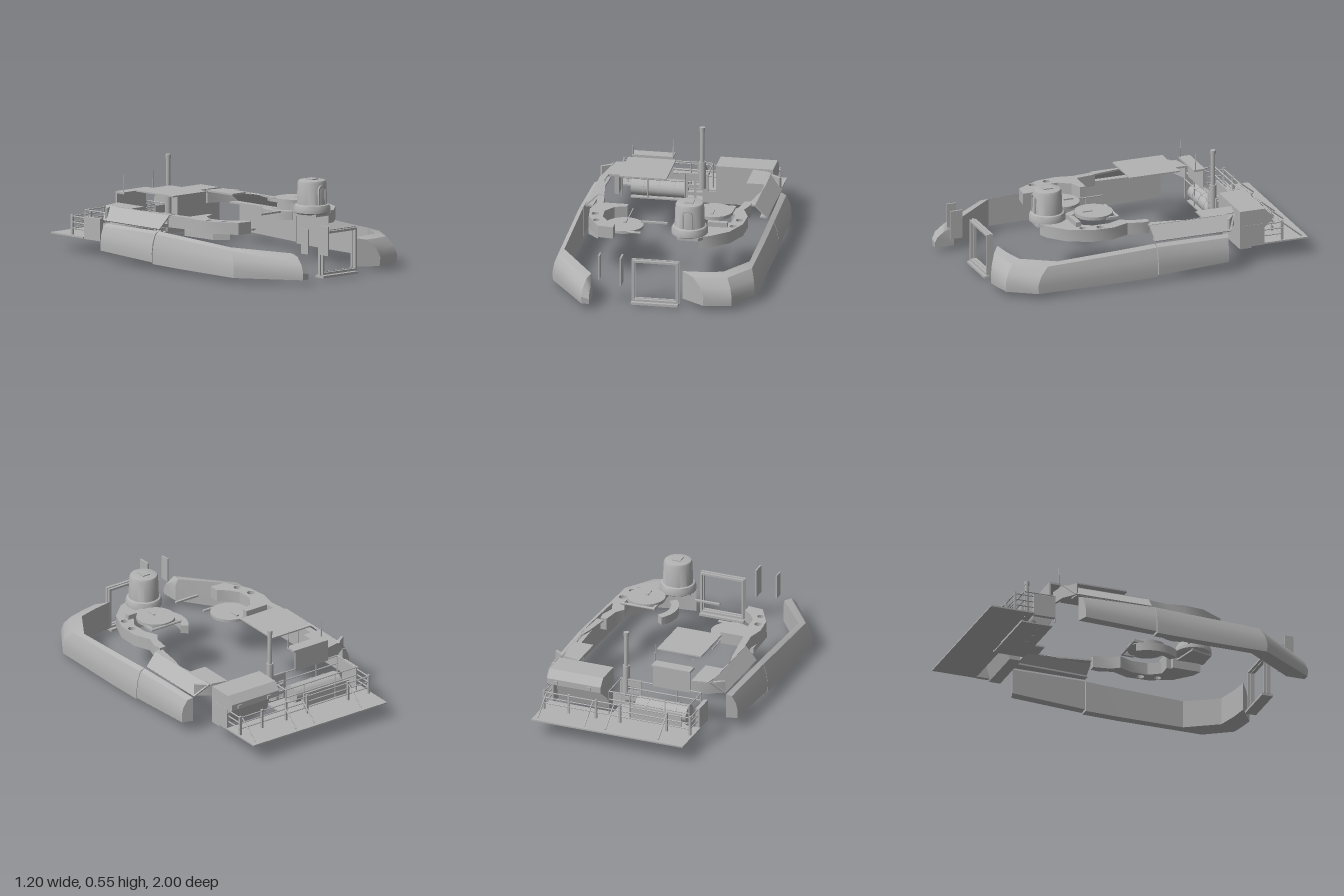
import * as THREE from 'three';
import { toCreasedNormals } from 'three/addons/utils/BufferGeometryUtils.js';

const grey = new THREE.MeshStandardMaterial({ color: 0xb2b2b2, side: THREE.DoubleSide });
grey.name = 'plain grey';

export function createModel() {
  const model = new THREE.Group();
  model.name = 'vehicleArmourKit';
  const add = (name, geo, parent = model) => {
    const m = new THREE.Mesh(toCreasedNormals(geo, 0.5), grey);
    m.name = name;
    parent.add(m);
    return m;
  };
  // box from its limits
  const box = (name, x0, x1, y0, y1, z0, z1, parent) =>
    add(name, new THREE.BoxGeometry(x1 - x0, y1 - y0, z1 - z0)
      .translate((x0 + x1) / 2, (y0 + y1) / 2, (z0 + z1) / 2), parent);
  // straight bar between two points
  const rod = (name, a, b, r = 0.004) => {
    const p = new THREE.Vector3(...a), d = new THREE.Vector3(...b).sub(p);
    const m = add(name, new THREE.CylinderGeometry(r, r, d.length(), 8));
    m.position.copy(p).addScaledVector(d, 0.5);
    m.quaternion.setFromUnitVectors(new THREE.Vector3(0, 1, 0), d.normalize());
  };
  const cyl = (name, x, y0, y1, z, r0, r1 = r0, seg = 32) =>
    add(name, new THREE.CylinderGeometry(r1, r0, y1 - y0, seg).translate(x, (y0 + y1) / 2, z));
  // plan outline [x, z] raised from y0 to y1
  const slab = (name, pts, y0, y1, holes = [], parent = model) => {
    const s = new THREE.Shape(pts.map(([x, z]) => new THREE.Vector2(x, -z)));
    holes.forEach(([x, z, r]) => s.holes.push(new THREE.Path().absarc(x, -z, r, 0, Math.PI * 2, true)));
    return add(name, new THREE.ExtrudeGeometry(s, { depth: y1 - y0, bevelEnabled: false, curveSegments: 20 })
      .rotateX(-Math.PI / 2).translate(0, y0, 0), parent);
  };
  // solid skin through a row of equal cross-sections, capped at both ends
  const loft = (name, sections) => {
    const n = sections[0].length, index = [];
    for (let i = 0; i < sections.length - 1; i++) for (let j = 0; j < n; j++) {
      const a = i * n + j, b = i * n + (j + 1) % n;
      index.push(a, b, a + n, b, b + n, a + n);
    }
    const e = (sections.length - 1) * n;
    for (let j = 1; j < n - 1; j++) index.push(0, j + 1, j, e, e + j, e + j + 1);
    const g = new THREE.BufferGeometry();
    g.setAttribute('position', new THREE.Float32BufferAttribute(sections.flat(2), 3));
    g.setIndex(index);
    return add(name, g);
  };

  // Side skirts: [inner x, inner z, outer x, outer z, bottom, top]
  const skirtSection = (side) => ([xi, zi, xo, zo, yb, yt]) => {
    const p = (t, y) => [side * (xi + (xo - xi) * t), y, zi + (zo - zi) * t];
    const h = yt - yb;
    const s = [p(0, yb), p(0.97, yb), p(1, yb + h * 0.3), p(0.85, yb + h * 0.62), p(0.5, yt - h * 0.08), p(0, yt)];
    return side > 0 ? s.reverse() : s;
  };
  const rearSkirt = [[0.53, -0.48, 0.595, -0.46, 0.065, 0.215], [0.545, -0.025, 0.6, -0.025, 0.045, 0.222]];
  const skirtStart = [[0.545, -0.02, 0.6, -0.02, 0.036, 0.222], [0.545, 0.2, 0.6, 0.2, 0.032, 0.212]];
  loft('rightRearSkirt', rearSkirt.map(skirtSection(-1)));
  loft('leftRearSkirt', rearSkirt.map(skirtSection(1)));
  loft('rightFrontSkirt', [...skirtStart, [0.545, 0.58, 0.6, 0.66, 0.03, 0.195],
    [0.335, 0.87, 0.37, 1, 0.03, 0.17], [0.325, 0.88, 0.325, 1, 0.03, 0.13]].map(skirtSection(-1)));
  loft('leftFrontSkirt', [...skirtStart, [0.54, 0.58, 0.595, 0.72, 0.03, 0.195],
    [0.42, 0.77, 0.49, 0.88, 0.03, 0.195], [0.3, 0.8, 0.4, 0.9, 0.03, 0.197],
    [0.19, 0.815, 0.33, 0.91, 0.03, 0.2]].map(skirtSection(1)));

  // Sloped hull sides, pierced by round holes
  for (const side of [1, -1]) {
    const hull = new THREE.Group();
    hull.name = side > 0 ? 'leftHullSide' : 'rightHullSide';
    hull.scale.x = side;
    model.add(hull);
    slab('hullTop', [[0.35, -0.57], [0.45, -0.55], [0.465, -0.46], [0.465, -0.02], [0.42, -0.02], [0.445, -0.18],
      [0.465, -0.26], [0.455, -0.35], [0.35, -0.35]], 0.298, 0.308, [], hull);
    const s = new THREE.Shape();
    s.moveTo(-0.5, 0); s.lineTo(-0.03, 0); s.lineTo(-0.02, 0.105); s.lineTo(-0.55, 0.105); s.closePath();
    for (const z of [-0.06, -0.15, -0.24, -0.33])
      s.holes.push(new THREE.Path().absarc(z, 0.055, 0.025, 0, Math.PI * 2, true));
    const plate = new THREE.ExtrudeGeometry(s, { depth: 0.008, bevelEnabled: false, curveSegments: 16 });
    plate.applyMatrix4(new THREE.Matrix4().makeBasis(new THREE.Vector3(0, 0, 1),
      new THREE.Vector3(-0.69, 0.724, 0), new THREE.Vector3(-0.724, -0.69, 0)).setPosition(0.535, 0.232, 0));
    add('slopedPlate', plate, hull);
    slab('rearCorner', [[0.35, -0.57], [0.45, -0.55], [0.53, -0.49], [0.52, -0.48], [0.44, -0.53], [0.35, -0.56]],
      0.232, 0.302, [], hull);
    slab('lowerLedge', [[0.47, -0.5], [0.53, -0.49], [0.53, -0.03], [0.49, -0.03]], 0.225, 0.235, [], hull);
  }

  // Left hatch surround
  slab('leftHatchArmour', [[0.40, -0.03], [0.44, -0.03], [0.445, 0.02], [0.42, 0.1], [0.46, 0.2], [0.455, 0.33],
    [0.4, 0.46], [0.3, 0.55], [0.24, 0.57], [0.24, 0.4], [0.33, 0.385], [0.385, 0.3], [0.385, 0.2], [0.35, 0.12],
    [0.385, 0.07]], 0.25, 0.322, [[0.425, 0.27, 0.022], [0.405, 0.37, 0.02]]);
  const crescent = [];
  for (let i = 0; i <= 16; i++) {
    const a = Math.PI * (0.76 + (0.46 * (i % 17)) / 16);
    crescent.push([0.27 + 0.19 * Math.cos(a), 0.25 + 0.19 * Math.sin(a)]);
  }
  for (let i = 16; i >= 0; i--) {
    const a = Math.PI * (0.76 + (0.46 * i) / 16);
    crescent.push([0.27 + 0.145 * Math.cos(a), 0.25 + 0.145 * Math.sin(a)]);
  }
  slab('hatchCrescent', crescent, 0.26, 0.31);
  box('hatchShield', 0.26, 0.375, 0.25, 0.35, 0.37, 0.4);
  cyl('leftHatchLid', 0.27, 0.346, 0.366, 0.25, 0.112);
  box('leftHatchHandle', 0.262, 0.278, 0.366, 0.372, 0.26, 0.32);
  rod('leftHatchHinge', [0.17, 0.35, 0.14], [0.38, 0.35, 0.14], 0.008);
  for (const x of [0.18, 0.37]) box('hingeArm', x - 0.008, x + 0.008, 0.34, 0.355, 0.14, 0.21);

  // Right hatch surround
  slab('rightHatchArmour', [[-0.46, -0.03], [-0.42, -0.03], [-0.405, 0.09], [-0.26, 0.09], [-0.26, 0.125],
    [-0.33, 0.15], [-0.375, 0.22], [-0.37, 0.31], [-0.33, 0.37], [-0.28, 0.41], [-0.28, 0.47], [-0.37, 0.46],
    [-0.45, 0.32], [-0.465, 0.2], [-0.445, 0.1]], 0.235, 0.305, [[-0.42, 0.27, 0.022], [-0.395, 0.37, 0.02]]);
  cyl('rightHatchLid', -0.255, 0.225, 0.242, 0.25, 0.112);
  box('rightHatchHandle', -0.263, -0.247, 0.242, 0.25, 0.17, 0.23);
  rod('rightHatchHinge', [-0.28, 0.235, 0.352], [-0.14, 0.235, 0.352], 0.008);
  rod('hatchStay', [-0.25, 0.24, -0.01], [-0.25, 0.24, 0.14]);
  slab('hatchFoot', [[-0.46, 0.1], [-0.38, 0.12], [-0.38, 0.4], [-0.45, 0.33]], 0.2, 0.235);
  box('crossBar', -0.13, 0.025, 0.317, 0.327, 0.385, 0.4);

  // Round sight turret
  const sight = add('sightDrum', new THREE.LatheGeometry([[0, 0.31], [0.09, 0.31], [0.106, 0.32], [0.106, 0.345],
    [0.098, 0.362], [0.088, 0.366], [0.083, 0.49], [0.077, 0.503], [0.06, 0.507], [0, 0.507]]
    .map(([r, y]) => new THREE.Vector2(r, y)), 40));
  sight.position.set(0.175, 0, 0.5);
  box('sightCap', 0.15, 0.2, 0.505, 0.513, 0.47, 0.53);
  const arch = (w, h) => {
    const s = new THREE.Shape();
    s.moveTo(-w, 0); s.lineTo(w, 0); s.lineTo(w, h);
    s.absarc(0, h, w, 0, Math.PI, false);
    return s.closePath();
  };
  const windowRim = arch(0.03, 0.082);
  windowRim.holes.push(arch(0.022, 0.08));
  add('sightWindowRim', new THREE.ExtrudeGeometry(windowRim, { depth: 0.02, bevelEnabled: false })
    .translate(0.175, 0.37, 0.57));
  slab('sightBracket', [[0.08, 0.46], [0.27, 0.42], [0.29, 0.53], [0.24, 0.59], [0.12, 0.59]], 0.3, 0.318);

  // Front window frame
  const frame = (name, x0, x1, y0, y1, t, z0, z1) => {
    box(name + 'Bottom', x0, x1, y0, y0 + t, z0, z1);
    box(name + 'Top', x0, x1, y1 - t, y1, z0, z1);
    for (const x of [x0, x1 - t]) box(name + 'Side', x, x + t, y0 + t, y1 - t, z0, z1);
  };
  frame('frontFrame', -0.095, 0.175, 0.018, 0.268, 0.012, 0.835, 0.875);
  frame('frameFlange', -0.1, 0.18, 0.012, 0.273, 0.022, 0.85, 0.858);
  box('frameSill', -0.1, 0.175, 0, 0.014, 0.82, 0.888);
  box('innerPost', -0.281, -0.273, 0.165, 0.31, 0.89, 0.945);
  box('outerPost', -0.15, -0.14, 0.145, 0.315, 0.9, 0.975);

  // Roof panel and instrument shelf
  box('roofPanel', -0.35, -0.075, 0.388, 0.396, -0.42, -0.11);
  box('rearPanel', -0.35, -0.12, 0.24, 0.365, -0.59, -0.58);
  box('rearShelf', -0.35, -0.11, 0.36, 0.372, -0.59, -0.52);
  for (const x of [-0.345, -0.11]) {
    rod('antenna', [x, 0.37, -0.53], [x, 0.475, -0.53], 0.0015);
    rod('antennaBase', [x, 0.37, -0.53], [x, 0.425, -0.53], 0.004);
  }

  // Exhaust mast
  cyl('mast', 0.052, 0.32, 0.53, -0.575, 0.013, 0.013, 16);
  cyl('mastHead', 0.052, 0.525, 0.547, -0.575, 0.016, 0.016, 16);
  cyl('mastBase', 0.052, 0.17, 0.335, -0.575, 0.02, 0.02, 16);

  // Stowage locker, side profile run across the width
  const locker = [[-0.58, 0.08], [-0.65, 0.08], [-0.69, 0.215], [-0.775, 0.23], [-0.775, 0.265], [-0.735, 0.31], [-0.58, 0.31]];
  loft('stowageLocker', [0.13, 0.465].map((x) => locker.map(([z, y]) => [x, y, z])));
  for (const x of [0.19, 0.4]) box('lockerLatch', x, x + 0.025, 0.235, 0.255, -0.782, -0.775);

  // Tarpaulin roll and stowage basket
  const roll = add('tarpaulinRoll', new THREE.CylinderGeometry(0.052, 0.052, 0.32, 24).rotateZ(Math.PI / 2).scale(1, 1, 1.15));
  roll.position.set(-0.21, 0.132, -0.642);
  for (const x of [-0.3, -0.21, -0.12]) {
    const strap = add('rollStrap', new THREE.CylinderGeometry(0.054, 0.054, 0.012, 24).rotateZ(Math.PI / 2).scale(1, 1, 1.15));
    strap.position.set(x, 0.132, -0.642);
  }
  box('basketFloor', -0.37, 0.08, 0.08, 0.088, -0.77, -0.58);
  box('basketBack', -0.37, -0.05, 0.088, 0.185, -0.77, -0.76);
  for (const y of [0.2, 0.25]) for (const z of [-0.77, -0.585]) rod('basketRail', [-0.42, y, z], [0.08, y, z]);
  for (const x of [-0.42, -0.27, -0.05, 0.08]) for (const z of [-0.77, -0.585])
    rod('basketUpright', [x, 0.085, z], [x, 0.25, z]);
  for (const x of [-0.42, 0.08]) rod('basketEnd', [x, 0.25, -0.77], [x, 0.25, -0.585]);
  const step = new THREE.Shape([[-0.045, 0.08], [0.13, 0.08], [0.13, 0.15], [0.085, 0.15], [0.085, 0.255], [-0.045, 0.255]]
    .map((p) => new THREE.Vector2(...p)));
  for (const x of [-0.035, 0.015]) for (const y of [0.095, 0.14, 0.185])
    step.holes.push(new THREE.Path([[x, y], [x, y + 0.025], [x + 0.037, y + 0.025], [x + 0.037, y]]
      .map((p) => new THREE.Vector2(...p))));
  add('stepPlate', new THREE.ExtrudeGeometry(step, { depth: 0.008, bevelEnabled: false }).translate(0, 0, -0.588));

  // Rear platform with railing and stays
  box('rearPlatform', -0.475, 0.47, 0.093, 0.102, -1, -0.73);
  for (const y of [0.14, 0.175, 0.21]) {
    rod('rearRail', [-0.46, y, -0.843], [0.465, y, -0.843]);
    for (const x of [-0.455, 0.455]) rod('sideRail', [x, y, -0.843], [x, y, -0.6]);
  }
  for (const x of [-0.455, -0.31, -0.02, 0.13, 0.3, 0.455]) box('railPost', x - 0.006, x + 0.006, 0.1, 0.22, -0.85, -0.836);
  for (const x of [-0.31, 0.02, 0.15, 0.44]) rod('platformStay', [x, 0.205, -0.845], [x, 0.104, -0.97]);
  for (const x of [-0.455, 0.455]) box('rearBracket', x - 0.012, x + 0.012, 0.09, 0.22, -0.73, -0.6);
  return model;
}
